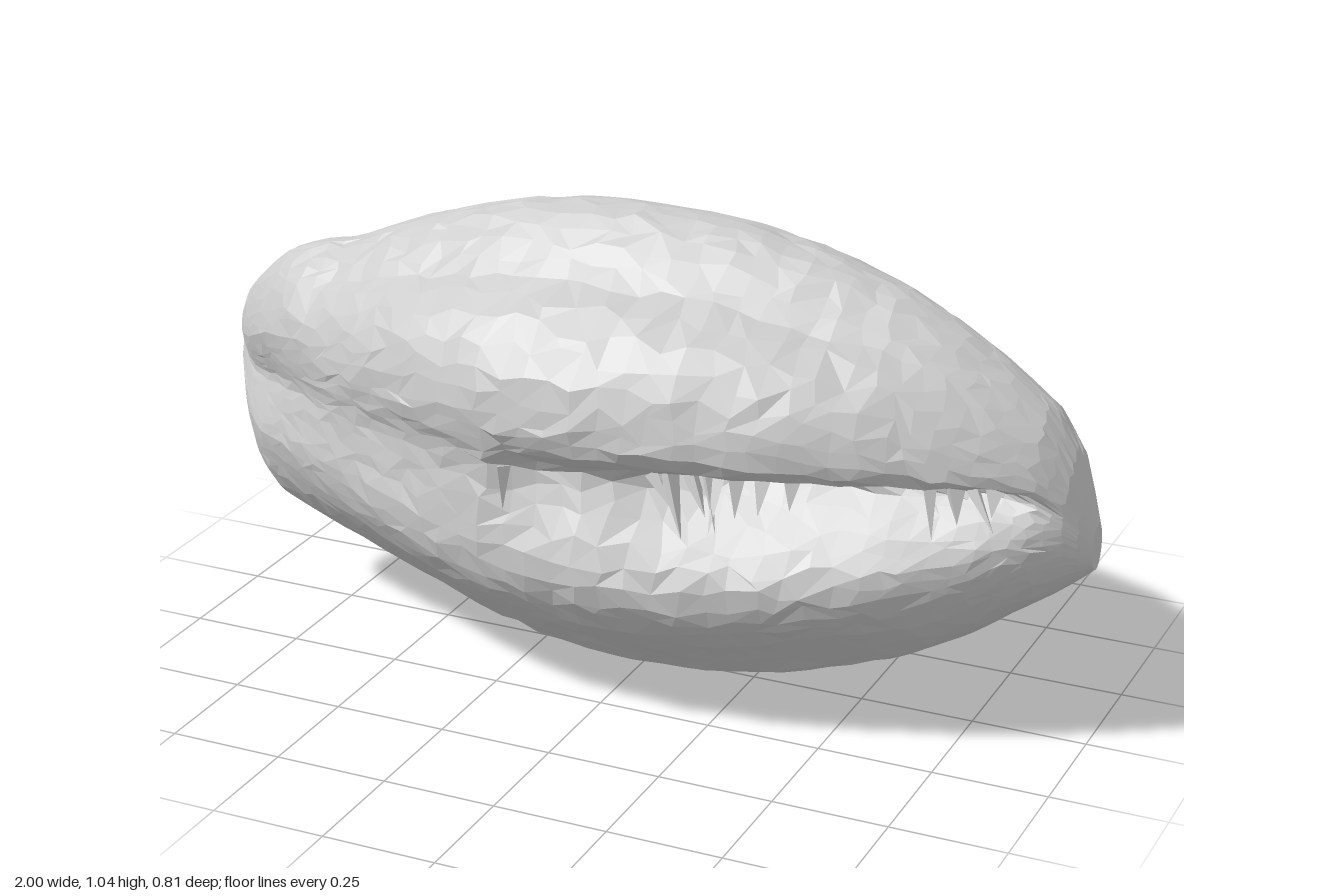
import * as THREE from 'three';

const { clamp, lerp, smoothstep } = THREE.MathUtils;

// Piecewise-linear lookup through [x, value] pairs
function lookup(table, x) {
  for (let i = 1; i < table.length; i++) {
    const [x0, a] = table[i - 1], [x1, b] = table[i];
    if (x <= x1) return lerp(a, b, clamp((x - x0) / (x1 - x0), 0, 1));
  }
  return table[table.length - 1][1];
}

function seeded(seed) {
  return () => (seed = (seed * 16807) % 2147483647) / 2147483647;
}

// Outline of the husk along its length: top, bottom, front and back
const TOP = [[-1, 0.66], [-0.98, 0.71], [-0.94, 0.76], [-0.87, 0.82], [-0.8, 0.85], [-0.7, 0.87], [-0.6, 0.915],
  [-0.5, 0.955], [-0.4, 0.985], [-0.3, 1.015], [-0.15, 1.035], [0, 1.04], [0.2, 1.03], [0.4, 0.995], [0.5, 0.965],
  [0.6, 0.93], [0.7, 0.88], [0.8, 0.815], [0.9, 0.735], [0.95, 0.66], [0.98, 0.57], [1, 0.5]];
const BOTTOM = [[-1, 0.5], [-0.98, 0.37], [-0.95, 0.29], [-0.9, 0.24], [-0.8, 0.205], [-0.7, 0.17], [-0.5, 0.095],
  [-0.35, 0.045], [-0.2, 0.01], [0, 0], [0.15, 0.008], [0.3, 0.03], [0.45, 0.075], [0.6, 0.13], [0.7, 0.18],
  [0.8, 0.25], [0.9, 0.32], [0.96, 0.365], [1, 0.4]];
const FRONT = [[-1, 0.015], [-0.97, 0.06], [-0.9, 0.125], [-0.8, 0.175], [-0.6, 0.26], [-0.4, 0.335], [-0.2, 0.385],
  [0, 0.405], [0.2, 0.39], [0.4, 0.35], [0.6, 0.29], [0.7, 0.25], [0.8, 0.205], [0.9, 0.145], [0.97, 0.08], [1, 0.035]];
const BACK = [[-1, 0.08], [-0.94, 0.12], [-0.83, 0.16], [-0.67, 0.205], [-0.5, 0.26], [-0.29, 0.325], [-0.15, 0.37],
  [0, 0.4], [0.15, 0.412], [0.27, 0.4], [0.37, 0.36], [0.51, 0.295], [0.6, 0.235], [0.66, 0.202], [0.74, 0.18],
  [0.89, 0.148], [0.95, 0.1], [1, 0.03]];
// Depth of the split, its drift up the tapering end, and the groove at the blunt end
const SPLIT = [[-0.22, 0], [-0.15, 0.12], [0.05, 0.24], [0.2, 0.48], [0.8, 0.5], [0.88, 0.35], [0.94, 0.08], [0.97, 0]];
const RISE = [[-0.2, -0.03], [0.4, -0.02], [0.7, 0.04], [0.9, 0.14]];
const GROOVE = [[-1, 0.6], [-0.93, 0.5], [-0.82, 0.25], [-0.65, 0.07], [-0.3, 0.02], [0, 0]];
// Hollow behind the tapering cap, on the upper back
const DENT = [[0.5, 0], [0.66, 0.2], [0.85, 0.2], [1, 0]];
// How much of the split depth applies at each relative height
const GAP = [[-0.46, 0], [-0.3, 0.1], [-0.14, 0.38], [0, 0.8], [0.06, 1], [0.11, 0.9], [0.18, 0.2], [0.24, 0]];

// Normalised cross-section (z, y), from the crest over the front and round the back
const SECTION = [[0, 1], [0.11, 0.99], [0.22, 0.94], [0.36, 0.85], [0.47, 0.77], [0.7, 0.69], [0.87, 0.56], [0.96, 0.43],
  [1, 0.3], [0.995, 0.21], [0.97, 0.14], [0.95, 0.07], [0.945, -0.03], [0.965, -0.16], [0.99, -0.28], [0.96, -0.41],
  [0.88, -0.52], [0.74, -0.63], [0.45, -0.8], [0.22, -0.94], [0.1, -0.99], [0, -1], [-0.1, -0.985], [-0.27, -0.93],
  [-0.53, -0.82], [-0.75, -0.7], [-0.82, -0.6], [-0.86, -0.38], [-0.94, -0.18], [-0.99, 0], [-0.95, 0.18],
  [-0.89, 0.38], [-0.82, 0.6], [-0.74, 0.72], [-0.5, 0.83], [-0.25, 0.94], [-0.1, 0.99]];

function surfacePoint(x, su, sv) {
  // The ridged section rounds off to an ellipse towards both ends
  const round = lerp(1, 1 / Math.hypot(su, sv), smoothstep(Math.abs(x), 0.4, 0.9) * 0.9);
  const u = su * round, v = sv * round;
  const top = lookup(TOP, x), bottom = lookup(BOTTOM, x);
  const groove = Math.max(0, 1 - Math.abs(v - 0.08) / 0.4) * lookup(GROOVE, x);
  let z = u * lookup(u > 0 ? FRONT : BACK, x);
  if (u > 0.5) z *= 1 - lookup(SPLIT, x) * lookup(GAP, v - lookup(RISE, x)) - groove;
  if (u < 0) z *= 1 - lookup(DENT, x) * smoothstep(v, 0, 0.5) - groove * 0.5 * smoothstep(-u, 0.3, 0.8);
  return new THREE.Vector3(x, (top + bottom) / 2 + v * (top - bottom) / 2, z);
}

function huskGeometry() {
  const random = seeded(71);
  const jitter = (size) => (random() - 0.5) * size;
  const curve = new THREE.CatmullRomCurve3(SECTION.map(([u, v]) => new THREE.Vector3(u, v, 0)), true);
  const rows = 46, n = 56;
  const positions = [], index = [];
  for (let i = 0; i <= rows; i++) {
    const t = i / rows * 2 - 1;
    const x = 0.5 * t + 0.5 * Math.sin(t * Math.PI / 2);
    const rough = i > 0 && i < rows ? Math.min(1, (1 - Math.abs(x)) * 8) : 0;
    for (let j = 0; j < n; j++) {
      // Slight irregularity gives the rough, faceted skin
      const s = curve.getPoint(((j + jitter(0.7) * rough) / n + 1) % 1);
      const p = surfacePoint(x + jitter(0.025) * rough, s.x, s.y);
      const bump = 1 + jitter(0.022) * rough;
      positions.push(p.x, 0.52 + (p.y - 0.52) * Math.min(bump, 1.003), p.z * bump);
    }
  }
  for (let i = 0; i < rows; i++) {
    for (let j = 0; j < n; j++) {
      const a = i * n + j, b = i * n + (j + 1) % n, c = a + n, d = b + n;
      if (random() < 0.5) index.push(a, b, c, b, d, c);
      else index.push(a, b, d, a, d, c);
    }
  }
  // Close both ends, the blunt one slightly hollow
  const first = positions.length / 3;
  positions.push(-0.985, 0.57, -0.03, 1, 0.45, 0);
  for (let j = 0; j < n; j++) {
    const k = (j + 1) % n;
    index.push(first, k, j, first + 1, rows * n + j, rows * n + k);
  }
  const geometry = new THREE.BufferGeometry();
  geometry.setAttribute('position', new THREE.Float32BufferAttribute(positions, 3));
  geometry.setIndex(index);
  geometry.computeVertexNormals();
  return geometry;
}

// Torn fibres: slivers from the roof of the split down to its lower slope
function addFibres(group, material) {
  const random = seeded(19);
  const fibres = new THREE.Group();
  fibres.name = 'tornFibres';
  const xs = [-0.18, 0.12, 0.15, 0.19, 0.22, 0.25, 0.28, 0.34, 0.4, 0.68, 0.73, 0.77, 0.81];
  xs.forEach((x) => {
    const rise = lookup(RISE, x);
    const root = surfacePoint(x, 0.95, 0.09 + rise);
    const tip = surfacePoint(x + 0.01 + random() * 0.06, 0.95, -0.02 - random() * 0.13 + rise);
    tip.z += 0.01;
    const axis = tip.clone().sub(root);
    const cone = new THREE.Mesh(new THREE.ConeGeometry(0.014 + random() * 0.012, axis.length(), 3), material);
    cone.name = 'fibre';
    cone.position.copy(root).lerp(tip, 0.5);
    // The cone's point leads towards the tip
    cone.quaternion.setFromUnitVectors(new THREE.Vector3(0, 1, 0), axis.normalize());
    fibres.add(cone);
  });
  group.add(fibres);
}

export function createModel() {
  const group = new THREE.Group();
  group.name = 'seedPod';
  const material = new THREE.MeshStandardMaterial({ color: 0xcccccc, flatShading: true });
  const husk = new THREE.Mesh(huskGeometry(), material);
  husk.name = 'husk';
  group.add(husk);
  addFibres(group, material);
  return group;
}
